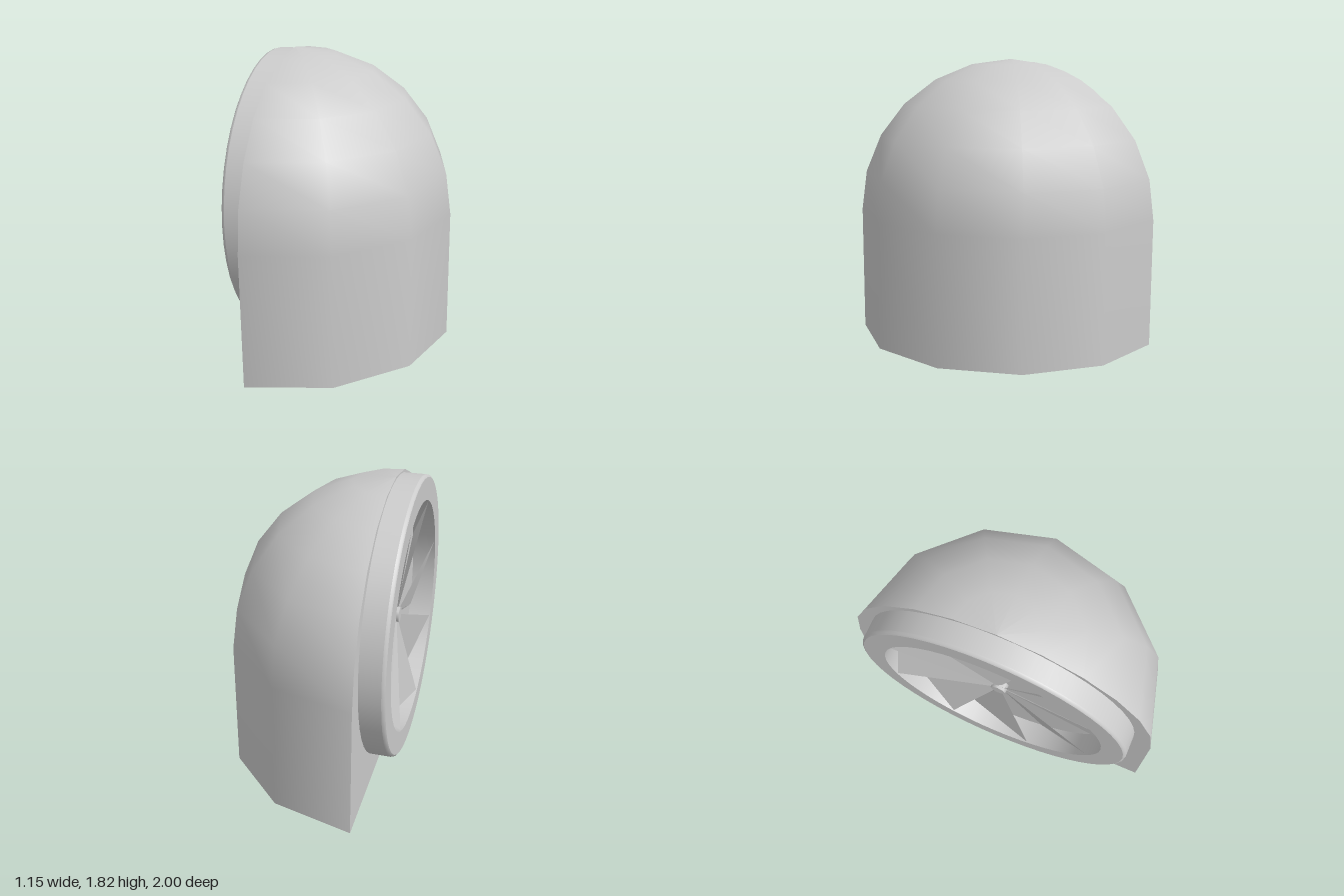
import * as THREE from 'three';

const WALL_X = -0.425;   // flat back of the housing
const RIM_X = -0.575;    // outer face of the fan ring
const DOME_Y = 0.815;    // where the dome starts
const FAN_Y = 0.925;     // fan axis height
const RING_R = 0.875, HOLE_R = 0.72;

const material = new THREE.MeshStandardMaterial({ color: 0xcccccc });
const thin = new THREE.MeshStandardMaterial({ color: 0xcccccc, side: THREE.DoubleSide });

function part(name, geometry, mat = material) {
  const mesh = new THREE.Mesh(geometry, mat);
  mesh.name = name;
  return mesh;
}

// Half-round housing: straight wall below, quarter sphere above
function makeHousing() {
  const group = new THREE.Group();
  group.name = 'housing';

  const profile = [new THREE.Vector2(1, 0)];
  const outline = [];
  for (let i = 0; i <= 6; i++) {
    const a = (i / 6) * Math.PI / 2;
    profile.push(new THREE.Vector2(i === 6 ? 0 : Math.cos(a), DOME_Y + Math.sin(a)));
  }
  const shell = part('domeShell', new THREE.LatheGeometry(profile, 6, 0, Math.PI));
  shell.position.x = WALL_X;

  // Flat back wall, following the same arch
  outline.push(new THREE.Vector2(-1, 0), new THREE.Vector2(1, 0));
  for (let i = 0; i <= 12; i++) {
    const a = (i / 12) * Math.PI;
    outline.push(new THREE.Vector2(Math.cos(a), DOME_Y + Math.sin(a)));
  }
  const wall = part('backWall', new THREE.ShapeGeometry(new THREE.Shape(outline)));
  wall.rotation.y = -Math.PI / 2;
  wall.position.x = WALL_X;

  // Flat underside
  const base = part('base', new THREE.CircleGeometry(1, 6, -Math.PI / 2, Math.PI));
  base.rotation.x = Math.PI / 2;
  base.position.x = WALL_X;

  group.add(shell, wall, base);
  return group;
}

// Ring around the fan: chained lathe strips keep the edges sharp
function makeRing() {
  const group = new THREE.Group();
  group.name = 'fanRing';
  const depth = WALL_X - RIM_X;
  const strips = {
    ringOuter: [[RING_R, 0], [RING_R, depth - 0.02]],
    ringBevel: [[RING_R, depth - 0.02], [RING_R - 0.004, depth - 0.007], [RING_R - 0.015, depth]],
    ringFace: [[RING_R - 0.015, depth], [HOLE_R, depth]],
    ringInner: [[HOLE_R, depth], [HOLE_R, 0]],
  };
  for (const [name, pts] of Object.entries(strips)) {
    const profile = pts.map(([r, h]) => new THREE.Vector2(r, h));
    group.add(part(name, new THREE.LatheGeometry(profile, 48)));
  }
  group.rotation.z = Math.PI / 2;
  group.position.set(WALL_X, FAN_Y, 0);
  return group;
}

// One pitched blade: four corners given by radius, angle and depth
function makeBlade() {
  const corner = (r, deg, x) => {
    const a = THREE.MathUtils.degToRad(deg);
    return [x, r * Math.sin(a), r * Math.cos(a)];
  };
  const geometry = new THREE.BufferGeometry();
  geometry.setAttribute('position', new THREE.Float32BufferAttribute([
    ...corner(0.03, 0, -0.462), ...corner(0.715, 0, -0.57),
    ...corner(0.715, -40, -0.43), ...corner(0.03, -40, -0.45),
  ], 3));
  geometry.setIndex([0, 1, 2, 0, 2, 3]);
  const flat = geometry.toNonIndexed();
  flat.computeVertexNormals();
  return flat;
}

function makeFan() {
  const group = new THREE.Group();
  group.name = 'fan';
  const bladeGeometry = makeBlade();
  for (let i = 0; i < 8; i++) {
    const blade = part('blade', bladeGeometry, thin);
    blade.rotation.x = THREE.MathUtils.degToRad(-19 + i * 45);
    group.add(blade);
  }
  const hub = part('hub', new THREE.CylinderGeometry(0.05, 0.05, 0.055, 8));
  hub.rotation.z = Math.PI / 2;
  hub.position.x = -0.4525;
  group.add(hub);
  group.position.y = FAN_Y;
  return group;
}

export function createModel() {
  const model = new THREE.Group();
  model.name = 'domedFanVent';
  model.add(makeHousing(), makeRing(), makeFan());
  return model;
}
